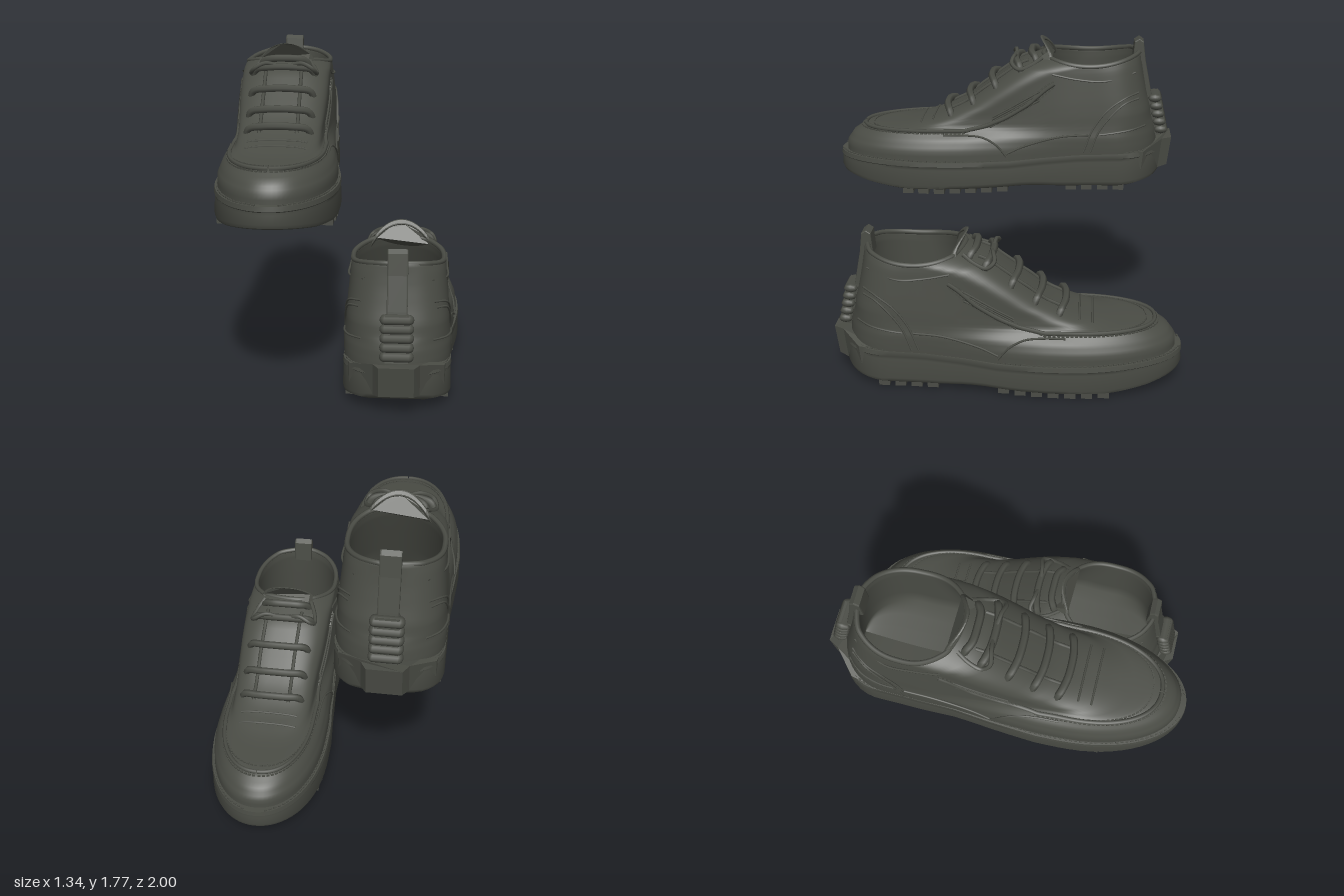
import * as THREE from 'three';
import { mergeGeometries, toCreasedNormals } from 'three/addons/utils/BufferGeometryUtils.js';

const darkOlive = new THREE.MeshStandardMaterial({ color: 0x4a4c45, side: THREE.DoubleSide });
darkOlive.name = 'dark olive leather';

const clamp01 = t => Math.min(1, Math.max(0, t));
const lerp = (a, b, t) => a + (b - a) * t;
// piecewise linear lookup in [[z, value], ...]
function lookup(k, z) {
  if (z <= k[0][0]) return k[0][1];
  for (let i = 1; i < k.length; i++)
    if (z <= k[i][0]) return lerp(k[i - 1][1], k[i][1], (z - k[i - 1][0]) / (k[i][0] - k[i - 1][0]));
  return k[k.length - 1][1];
}

// footprint: centre line (set per shoe) and half width along the length, toe towards +z
let spine;
const centre = z => lookup(spine, z);
const half = z => lookup([[-0.5, 0.285], [-0.2, 0.29], [0, 0.312], [0.25, 0.335], [1, 0.337]], z);
const arch = z => lookup([[-0.9, 0.09], [-0.82, 0.055], [-0.66, 0.033], [-0.3, 0.033], [-0.1, 0.042],
  [0.1, 0.032], [0.6, 0.028], [0.8, 0.05], [1, 0.085]], z);

// half width of a rounded outline at z
function width(o, z) {
  let c = 1;
  if (z < o.zb + o.rb) c = Math.pow(Math.max(0, 1 - Math.pow((o.zb + o.rb - z) / o.rb, o.n)), 1 / o.n);
  if (z > o.zf - o.rf) c *= Math.pow(Math.max(0, 1 - Math.pow((z - o.zf + o.rf) / o.rf, o.n)), 1 / o.n);
  const t = clamp01((z + 0.4) / 0.75);
  return half(z) * lerp(o.heel, o.toe, t * t * (3 - 2 * t)) * c;
}

// skin over closed outlines stacked upwards
function loft(outlines, yAt, N = 44) {
  const pos = [], idx = [], M = 2 * N;
  outlines.forEach(o => {
    for (let i = 0; i < M; i++) {
      const s = i <= N ? i / N : (M - i) / N;
      const z = lerp(o.zb, o.zf, (1 - Math.cos(Math.PI * s)) / 2);
      pos.push(centre(z) + (i <= N ? 1 : -1) * width(o, z), yAt(o, z), z);
    }
  });
  for (let j = 0; j + 1 < outlines.length; j++)
    for (let i = 0; i < M; i++) {
      const k = (i + 1) % M, a = j * M + i, b = j * M + k;
      idx.push(a, a + M, b, b, a + M, b + M);
    }
  const g = new THREE.BufferGeometry();
  g.setAttribute('position', new THREE.Float32BufferAttribute(pos, 3));
  g.setIndex(idx);
  g.computeVertexNormals();
  return g;
}

// upper outlines: back z, back y, front z, front y, heel scale, toe scale, back round, front round, power
const KEYS = ['zb', 'yb', 'zf', 'yf', 'heel', 'toe', 'rb', 'rf', 'n'];
const ROWS = [
  [-0.85, 0.17, 0.965, 0.17, 0.98, 0.95, 0.27, 0.62, 2.1],
  [-0.85, 0.25, 0.96, 0.25, 0.99, 0.94, 0.27, 0.62, 2.1],
  [-0.845, 0.31, 0.92, 0.305, 0.99, 0.87, 0.27, 0.6, 2.1],
  [-0.835, 0.35, 0.845, 0.35, 0.97, 0.735, 0.27, 0.48, 2.2],
  [-0.82, 0.39, 0.61, 0.364, 0.96, 0.68, 0.27, 0.32, 2.5],
  [-0.81, 0.45, 0.41, 0.412, 0.95, 0.66, 0.27, 0.22, 2.7],
  [-0.79, 0.53, 0.25, 0.485, 0.93, 0.66, 0.27, 0.2, 2.7],
  [-0.77, 0.63, 0.07, 0.612, 0.9, 0.68, 0.27, 0.2, 2.6],
  [-0.76, 0.70, -0.05, 0.70, 0.88, 0.72, 0.27, 0.22, 2.4],
  [-0.755, 0.755, -0.19, 0.755, 0.86, 0.8, 0.27, 0.25, 2.1],
  [-0.74, 0.755, -0.21, 0.755, 0.82, 0.77, 0.265, 0.25, 2.1],
  [-0.735, 0.70, -0.19, 0.69, 0.82, 0.74, 0.265, 0.25, 2.1],
  [-0.76, 0.30, -0.02, 0.30, 0.86, 0.7, 0.265, 0.25, 2.1],
  [-0.76, 0.28, -0.02, 0.28, 0, 0, 0.265, 0.25, 2.1]];
function row(v) {
  const j = Math.min(ROWS.length - 2, Math.floor(v)), t = v - j, o = {};
  KEYS.forEach((k, i) => { o[k] = lerp(ROWS[j][i], ROWS[j + 1][i], t); });
  o.dip = 0.042 * clamp01((v - 6) / 3);
  return o;
}
const upperY = (o, z) => {
  const f = clamp01((z - o.zb) / (o.zf - o.zb));
  return lerp(o.yb, o.yf, f) - o.dip * Math.sin(Math.PI * f);
};
const ridge = z => lookup(ROWS.slice(1, 10).map(r => [r[2], r[3]]).reverse(), z);

// points on the upper
const onRow = (v, z, s, out = 0.003) => {
  const o = row(v);
  return new THREE.Vector3(centre(z) + s * (width(o, z) + out), upperY(o, z) + out, z);
};
function onSide(z, y, s, out = 0.003) {
  let v = 0;
  while (v < 9 && upperY(row(v), z) < y) v += 0.03;
  return onRow(v, z, s, out);
}
function onTop(z, x, s, out = 0.004) {
  let v = 0;
  while (v < 9 && width(row(v), z) > x) v += 0.03;
  return new THREE.Vector3(centre(z) + s * x, upperY(row(v), z) + out, z);
}

const path = pts => new THREE.CatmullRomCurve3(pts);
const tube = (pts, r, seg = 40) => new THREE.TubeGeometry(path(pts), seg, r, 6, false);
function dashes(pts, n) {
  const c = path(pts), d = new THREE.Object3D(), out = [];
  for (let i = 0; i < n; i++) {
    d.position.copy(c.getPointAt((i + 0.5) / n));
    d.lookAt(d.position.clone().add(c.getTangentAt((i + 0.5) / n)));
    d.updateMatrix();
    out.push(new THREE.BoxGeometry(0.008, 0.008, 0.016).applyMatrix4(d.matrix));
  }
  return mergeGeometries(out);
}
const range = (a, b, n) => Array.from({ length: n + 1 }, (_, i) => lerp(a, b, i / n));

function createShoe(spineKnots) {
  spine = spineKnots;
  const shoe = new THREE.Group();
  const add = (name, geo) => {
    const m = new THREE.Mesh(geo, darkOlive);
    m.name = name;
    shoe.add(m);
  };

  // upper with collar, lining and insole
  add('upper', loft(range(0, 13, 39).map(row), upperY, 56));

  // sole: width, inset, lift from the underside (0) or from the top edge (1)
  const soleTop = z => lookup([[-0.9, 0.225], [-0.4, 0.215], [0, 0.185], [0.5, 0.19], [1, 0.2]], z);
  const soleRows = [[1, 0.03, 0, 0], [0.96, 0.025, 0, 0], [0.985, 0.008, 0.006, 0], [1, 0, 0.025, 0],
    [0.99, 0.005, -0.045, 1], [0.99, 0.005, -0.03, 1], [1, 0, -0.025, 1], [0.99, 0.004, 0, 1], [0.88, 0.06, 0.004, 1]]
    .map(([w, inset, dy, top], i) => ({ zb: -0.88 + inset, zf: 1 - inset, heel: i ? w : 0, toe: i ? w : 0,
      rb: 0.25, rf: 0.65, n: 2.05, dy, top }));
  add('sole', toCreasedNormals(loft(soleRows, (o, z) => (o.top ? soleTop(z) : arch(z)) + o.dy), 0.7));
  const welt = s => range(-0.8, 0.985, 30).map(z =>
    new THREE.Vector3(centre(z) + s * (width(soleRows[7], z) - 0.012), soleTop(z) + 0.004, z));
  for (const s of [1, -1]) add('weltStitching', dashes(welt(s), 70));

  // tread lugs, centre bars and pads
  const lugs = [];
  const lug = (x, z, w, d) => lugs.push(new THREE.BoxGeometry(w, 0.05, d).translate(x, arch(z) - 0.003, z));
  for (const s of [1, -1]) {
    for (const z of [-0.63, -0.54, -0.45, -0.36, 0.03, 0.12, 0.21, 0.3, 0.39, 0.48, 0.57])
      lug(centre(z) + s * (width(soleRows[3], z) - 0.09), z, 0.15, 0.06);
    for (const z of [0.08, 0.2, 0.32, 0.44]) lug(centre(z) + s * 0.075, z, 0.12, 0.08);
  }
  for (const z of [-0.6, -0.42])
    lugs.push(new THREE.CylinderGeometry(0.06, 0.06, 0.04, 20).translate(centre(z), arch(z), z));
  add('treadLugs', mergeGeometries(lugs));

  // faceted heel counter
  const plan = new THREE.Shape([[-0.27, 0.5], [-0.28, 0.62], [-0.245, 0.77], [-0.12, 0.88], [-0.09, 0.935],
    [0.09, 0.935], [0.12, 0.88], [0.245, 0.77], [0.28, 0.62], [0.27, 0.5]].map(p => new THREE.Vector2(...p)));
  const counter = new THREE.ExtrudeGeometry(plan, { depth: 0.18, bevelEnabled: false }).rotateX(-Math.PI / 2);
  const cp = counter.attributes.position;
  for (let i = 0; i < cp.count; i++) {
    const z = cp.getZ(i), low = cp.getY(i) < 0.09;
    cp.setY(i, low ? arch(z) + 0.012 : z < -0.87 ? 0.265 : 0.225);
    if (low) cp.setZ(i, z * 0.975);
  }
  counter.translate(centre(-0.8), 0, 0).computeVertexNormals();
  add('heelCounter', counter);

  // ribbed heel clip
  const ribs = [new THREE.BoxGeometry(0.12, 0.24, 0.07).rotateX(0.16).translate(centre(-0.8), 0.39, -0.845)];
  for (let i = 0; i < 5; i++)
    ribs.push(new THREE.CapsuleGeometry(0.025, 0.125, 4, 8).rotateZ(Math.PI / 2).scale(1, 1, 1.6)
      .translate(centre(-0.8), 0.305 + i * 0.046, -0.875 + i * 0.009));
  add('heelClip', mergeGeometries(ribs));

  // heel strap rising into a pull loop
  const strap = new THREE.Shape([[0.83, 0.3], [0.85, 0.3], [0.812, 0.52], [0.778, 0.7], [0.765, 0.81], [0.745, 0.825],
    [0.722, 0.81], [0.712, 0.7], [0.735, 0.7], [0.76, 0.7], [0.79, 0.52]].map(p => new THREE.Vector2(...p)));
  add('pullStrap', new THREE.ExtrudeGeometry(strap, { depth: 0.09, bevelEnabled: true, bevelSize: 0.005,
    bevelThickness: 0.008, bevelSegments: 2 }).rotateY(Math.PI / 2).translate(centre(-0.8) - 0.045, 0, 0));

  // padded collar roll
  add('collar', new THREE.TubeGeometry(new THREE.CatmullRomCurve3([
    ...range(-0.745, -0.205, 14).map(z => onRow(9.5, z, 1, 0)),
    ...range(-0.205, -0.745, 14).slice(1, -1).map(z => onRow(9.5, z, -1, 0))], true), 90, 0.014, 7, true));

  // tongue, arched across its width and swept back at the sides
  const t = new THREE.Shape();
  t.moveTo(-0.11, 0);
  t.lineTo(-0.16, 0.25);
  t.bezierCurveTo(-0.13, 0.36, 0.13, 0.36, 0.16, 0.25);
  t.lineTo(0.11, 0);
  const tongue = new THREE.ExtrudeGeometry(t, { depth: 0.018, bevelEnabled: true, bevelSize: 0.008,
    bevelThickness: 0.008, bevelSegments: 2, curveSegments: 20 }).rotateX(-0.9);
  const tp = tongue.attributes.position;
  for (let i = 0; i < tp.count; i++) {
    const bend = tp.getX(i) ** 2;
    tp.setY(i, tp.getY(i) - 2.2 * bend);
    tp.setZ(i, tp.getZ(i) - 4.5 * bend);
  }
  tongue.translate(centre(-0.1), 0.615, 0.06).computeVertexNormals();
  add('tongue', tongue);

  // laces and loose loops
  for (const z of [-0.15, -0.06, 0.08, 0.21, 0.34]) {
    const y = ridge(z), c = centre(z), w = z < -0.1 ? 0.14 : 0.175;
    add('lace', tube([[-w, -0.045, -0.03], [-w + 0.02, 0.006, -0.01], [-0.08, 0.022, 0.01], [0, 0.026, 0.015],
      [0.08, 0.022, 0.01], [w - 0.02, 0.006, -0.01], [w, -0.045, -0.03]]
      .map(([x, dy, dz]) => new THREE.Vector3(c + x, y + dy, z + dz)), 0.021));
  }
  for (const s of [1, -1])
    add('laceLoop', tube([[0.02, 0.73, -0.05], [0.1, 0.75, -0.04], [0.165, 0.72, -0.03], [0.185, 0.69, -0.07],
      [0.17, 0.71, -0.14], [0.14, 0.745, -0.2]].map(([x, y, z]) => new THREE.Vector3(centre(z) + s * x, y, z)), 0.012));

  for (const s of [1, -1]) {
    // apron seam from the toe tip running up into the eyelet stay
    const seam = dv => range(0, 1, 36).map(k => {
      const z = lerp(-0.27, row(3 + dv).zf, Math.sin(k * Math.PI / 2));
      return onRow(3 + dv + clamp01((0.25 - z) / 0.52) * 4.2, z, s);
    });
    add('apronSeam', tube(seam(0), 0.012, 70));
    add('apronStitching', dashes(seam(-0.25), 55));
    add('apronStitching', dashes(seam(0.2), 55));
    // eyelet stay edge
    add('eyeletStay', tube(range(-0.12, 0.36, 14).map(z => onTop(z, 0.1, s)), 0.01));
    // overlay seams on heel, ankle and forefoot
    const line = (name, pts) => add(name, tube(pts.map(([z, y]) => onSide(z, y, s)), 0.006));
    line('heelOverlay', [[-0.74, 0.55], [-0.66, 0.53], [-0.57, 0.47], [-0.49, 0.37], [-0.43, 0.23]]);
    line('heelOverlay', [[-0.74, 0.52], [-0.66, 0.5], [-0.59, 0.44], [-0.52, 0.35], [-0.47, 0.23]]);
    line('heelBand', [[-0.78, 0.36], [-0.7, 0.35], [-0.6, 0.34], [-0.52, 0.33]]);
    line('archOverlay', [[-0.46, 0.33], [-0.3, 0.32], [-0.1, 0.27], [0, 0.23]]);
    line('toeGuard', [[0, 0.21], [0.06, 0.28], [0.14, 0.32], [0.24, 0.33], [0.36, 0.33]]);
    line('collarSeam', [[-0.72, 0.66], [-0.55, 0.63], [-0.4, 0.64], [-0.26, 0.67]]);
    // striped side patch
    for (let i = 0; i < 5; i++)
      line('sidePatch', range(-0.2, 0.08, 6).map(z => [z + i * 0.004, 0.58 - (z + 0.2) * 0.55 - i * 0.014]));
  }
  // creases across the vamp
  for (const z of [0.43, 0.5])
    add('vampCrease', tube(range(-0.16, 0.16, 8).map(x => onTop(z, Math.abs(x), Math.sign(x) || 1, 0)), 0.006));
  return shoe;
}

export function createModel() {
  const model = new THREE.Group();
  model.name = 'pairOfShoes';
  const upperShoe = createShoe([[-0.4, -0.024], [0.1, -0.008], [0.4, 0.003], [1, 0.02]]);
  upperShoe.name = 'raisedShoe';
  upperShoe.position.set(-0.335, 0.923, 0);
  upperShoe.rotation.x = 0.022;
  const lowerShoe = createShoe([[-0.4, 0.015], [0.1, -0.003], [0.4, 0], [1, 0.016]]);
  lowerShoe.name = 'lowerShoe';
  lowerShoe.position.set(0.33, 0, 0);
  lowerShoe.rotation.y = Math.PI;
  model.add(upperShoe, lowerShoe);
  return model;
}
